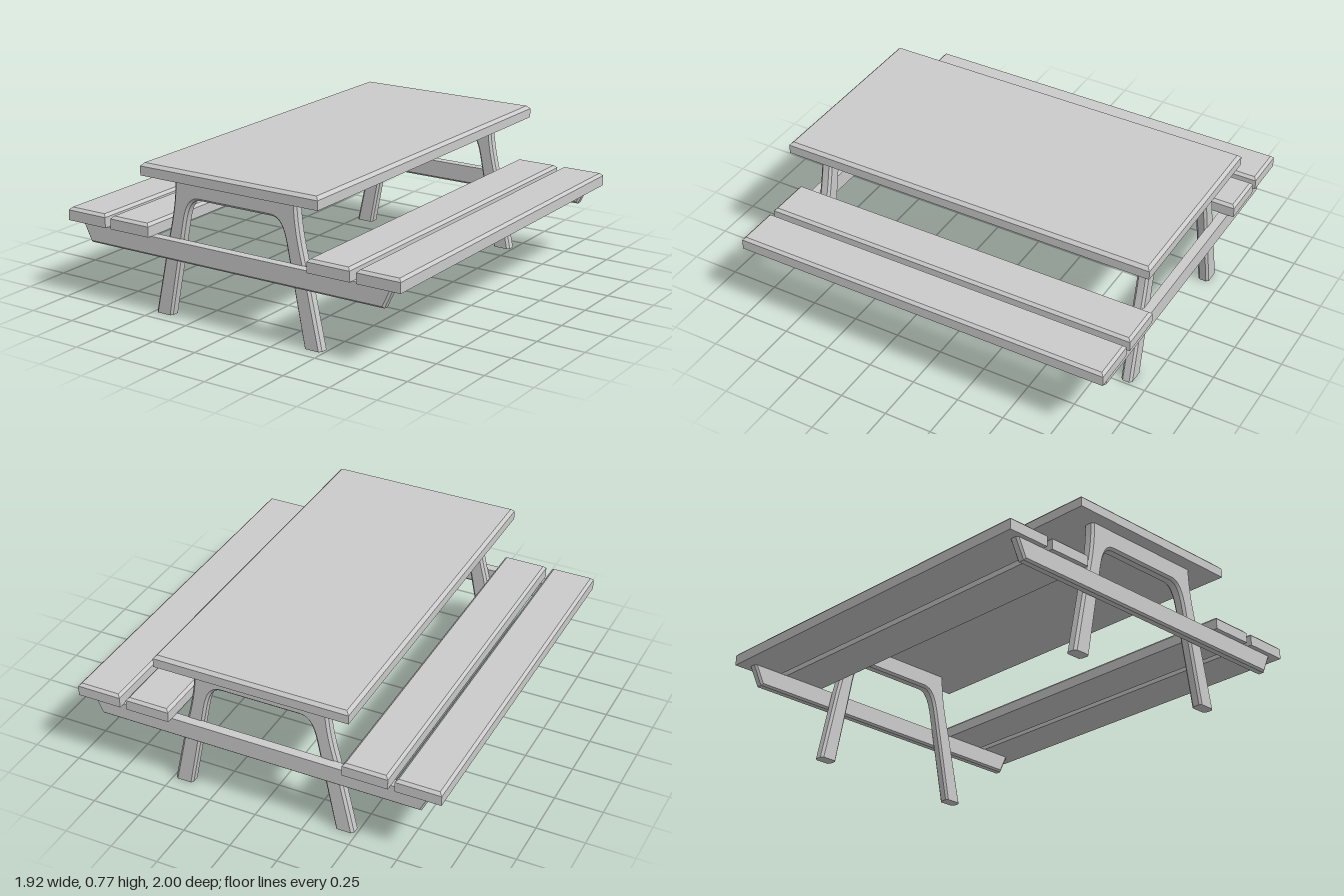
import * as THREE from 'three';
import { toCreasedNormals } from 'three/addons/utils/BufferGeometryUtils.js';

const material = new THREE.MeshStandardMaterial({ color: 0xcccccc });

function addMesh(group, name, geometry) {
  const mesh = new THREE.Mesh(toCreasedNormals(geometry, 0.4), material);
  mesh.name = name;
  group.add(mesh);
  return mesh;
}

// Board with a flat underside and a chamfer around its top face
function board(x0, x1, y0, y1, chamfer) {
  const w = x1 - x0, h = y1 - y0, length = 2;
  const g = new THREE.BoxGeometry(w, h, length, 1, 2, 1);
  const p = g.attributes.position;
  for (let i = 0; i < p.count; i++) {
    const y = p.getY(i);
    if (Math.abs(y) < 1e-4) p.setY(i, h / 2 - chamfer);
    else if (y > 0) {
      p.setX(i, p.getX(i) - Math.sign(p.getX(i)) * chamfer);
      p.setZ(i, p.getZ(i) - Math.sign(p.getZ(i)) * chamfer);
    }
  }
  return g.translate((x0 + x1) / 2, (y0 + y1) / 2, 0);
}

// Chamfered profile from z0 to z1, kept flat at the listed heights
function chamferedProfile(shape, z0, z1, bevel, flatHeights) {
  const g = new THREE.ExtrudeGeometry(shape, {
    depth: z1 - z0 - 2 * bevel, bevelThickness: bevel, bevelSize: bevel,
    bevelOffset: -bevel, bevelSegments: 1, curveSegments: 8,
  });
  g.translate(0, 0, z0 + bevel);
  const p = g.attributes.position;
  for (let i = 0; i < p.count; i++)
    for (const y of flatHeights)
      if (Math.abs(p.getY(i) - y) < bevel * 1.1) p.setY(i, y);
  return g;
}

// Splayed pair of legs joined by a crossbar under the table top
function legShape() {
  const s = new THREE.Shape();
  s.moveTo(0.39, 0);
  s.lineTo(0.487, 0);
  s.lineTo(0.402, 0.39);
  s.bezierCurveTo(0.37, 0.51, 0.353, 0.6, 0.35, 0.71);
  s.lineTo(-0.35, 0.71);
  s.bezierCurveTo(-0.353, 0.6, -0.37, 0.51, -0.402, 0.39);
  s.lineTo(-0.487, 0);
  s.lineTo(-0.39, 0);
  s.lineTo(-0.293, 0.49);
  s.bezierCurveTo(-0.277, 0.57, -0.255, 0.61, -0.21, 0.612);
  s.lineTo(0.21, 0.612);
  s.bezierCurveTo(0.255, 0.61, 0.277, 0.57, 0.293, 0.49);
  s.closePath();
  return s;
}

// Bench beam with slanted ends
function beamShape() {
  return new THREE.Shape([[-0.85, 0.305], [0.855, 0.305], [0.902, 0.405], [-0.9, 0.405]]
    .map(([x, y]) => new THREE.Vector2(x, y)));
}

export function createModel() {
  const model = new THREE.Group();
  model.name = 'picnicTable';

  addMesh(model, 'tableTop', board(-0.5, 0.52, 0.71, 0.773, 0.016));

  // Two planks per bench
  const planks = {
    rightOuterBenchPlank: [-0.965, -0.732],
    rightInnerBenchPlank: [-0.698, -0.464],
    leftInnerBenchPlank: [0.457, 0.691],
    leftOuterBenchPlank: [0.726, 0.96],
  };
  for (const [name, [x0, x1]] of Object.entries(planks))
    addMesh(model, name, board(x0, x1, 0.405, 0.472, 0.014));

  // Leg frames with the beams on their outer faces
  addMesh(model, 'frontLegs', chamferedProfile(legShape(), 0.871, 0.931, 0.012, [0, 0.71]));
  addMesh(model, 'backLegs', chamferedProfile(legShape(), -0.922, -0.863, 0.012, [0, 0.71]));
  addMesh(model, 'frontBeam', chamferedProfile(beamShape(), 0.927, 0.976, 0.01, [0.405]));
  addMesh(model, 'backBeam', chamferedProfile(beamShape(), -0.967, -0.918, 0.01, [0.405]));

  return model;
}
